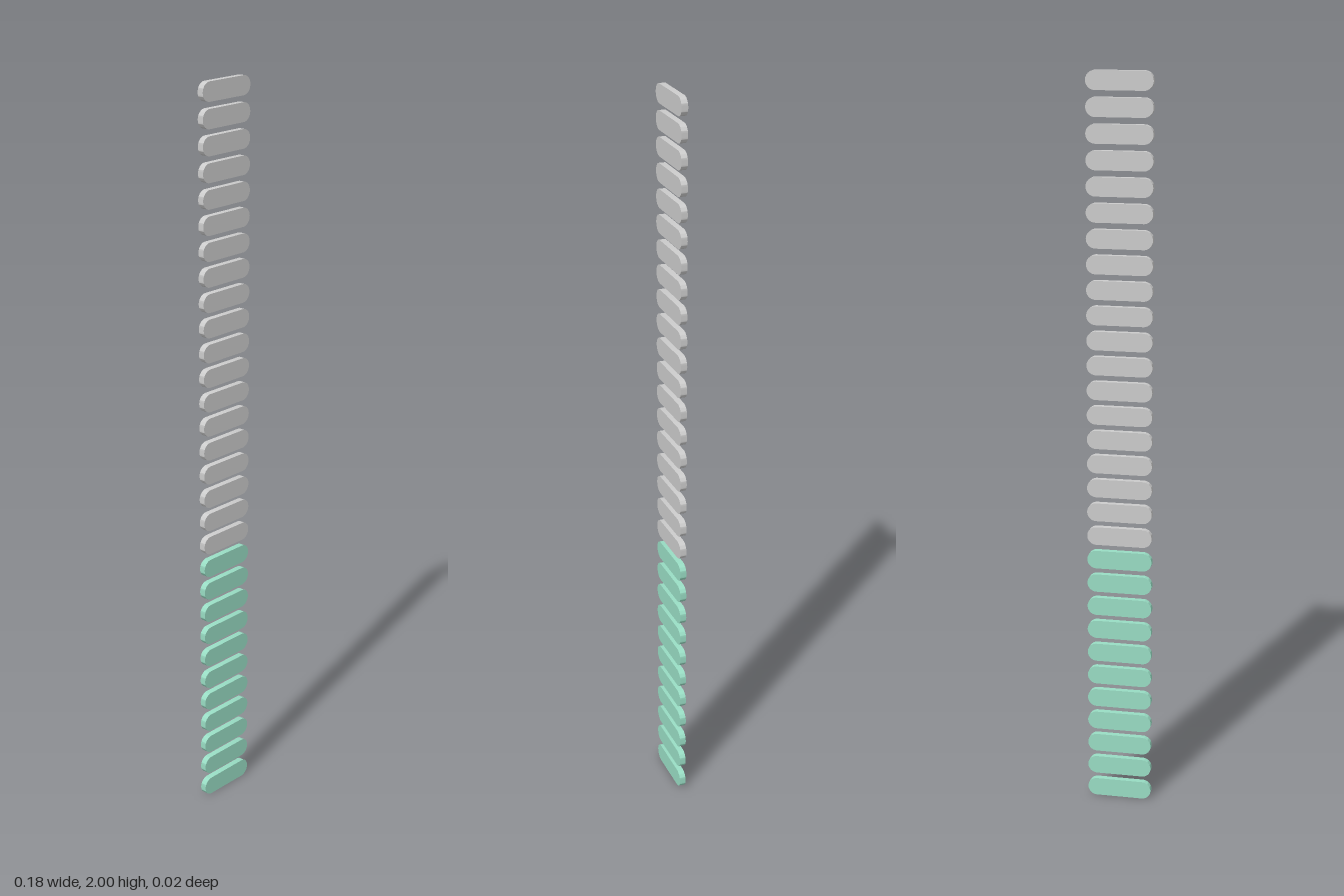
import * as THREE from 'three';
import { toCreasedNormals } from 'three/addons/utils/BufferGeometryUtils.js';

const COUNT = 30, GREEN = 11;
const WIDTH = 0.177, HEIGHT = 0.05, DEPTH = 0.017;

// Flat pill with fully rounded ends, centred on the origin
function pillGeometry() {
  const r = HEIGHT / 2, c = WIDTH / 2 - r;
  const shape = new THREE.Shape();
  shape.moveTo(-c, -r);
  shape.lineTo(c, -r);
  shape.absarc(c, 0, r, -Math.PI / 2, Math.PI / 2, false);
  shape.lineTo(-c, r);
  shape.absarc(-c, 0, r, Math.PI / 2, Math.PI * 1.5, false);
  const geometry = new THREE.ExtrudeGeometry(shape, { depth: DEPTH, bevelEnabled: false, curveSegments: 20 });
  geometry.translate(0, 0, -DEPTH / 2);
  return toCreasedNormals(geometry, Math.PI / 5);
}

export function createModel() {
  const model = new THREE.Group();
  model.name = 'segmentedLevelBar';
  const grey = new THREE.MeshStandardMaterial({ color: 0xcccccc });
  const green = new THREE.MeshStandardMaterial({ color: 0x98dcc3 });
  const pill = pillGeometry();
  const step = (2 - HEIGHT) / (COUNT - 1);

  // Column of segments: the lower ones lit green, the rest grey
  for (let i = 0; i < COUNT; i++) {
    const lit = i < GREEN;
    const segment = new THREE.Mesh(pill, lit ? green : grey);
    segment.name = (lit ? 'litSegment' : 'unlitSegment') + (i + 1);
    segment.position.y = HEIGHT / 2 + i * step;
    model.add(segment);
  }
  return model;
}
